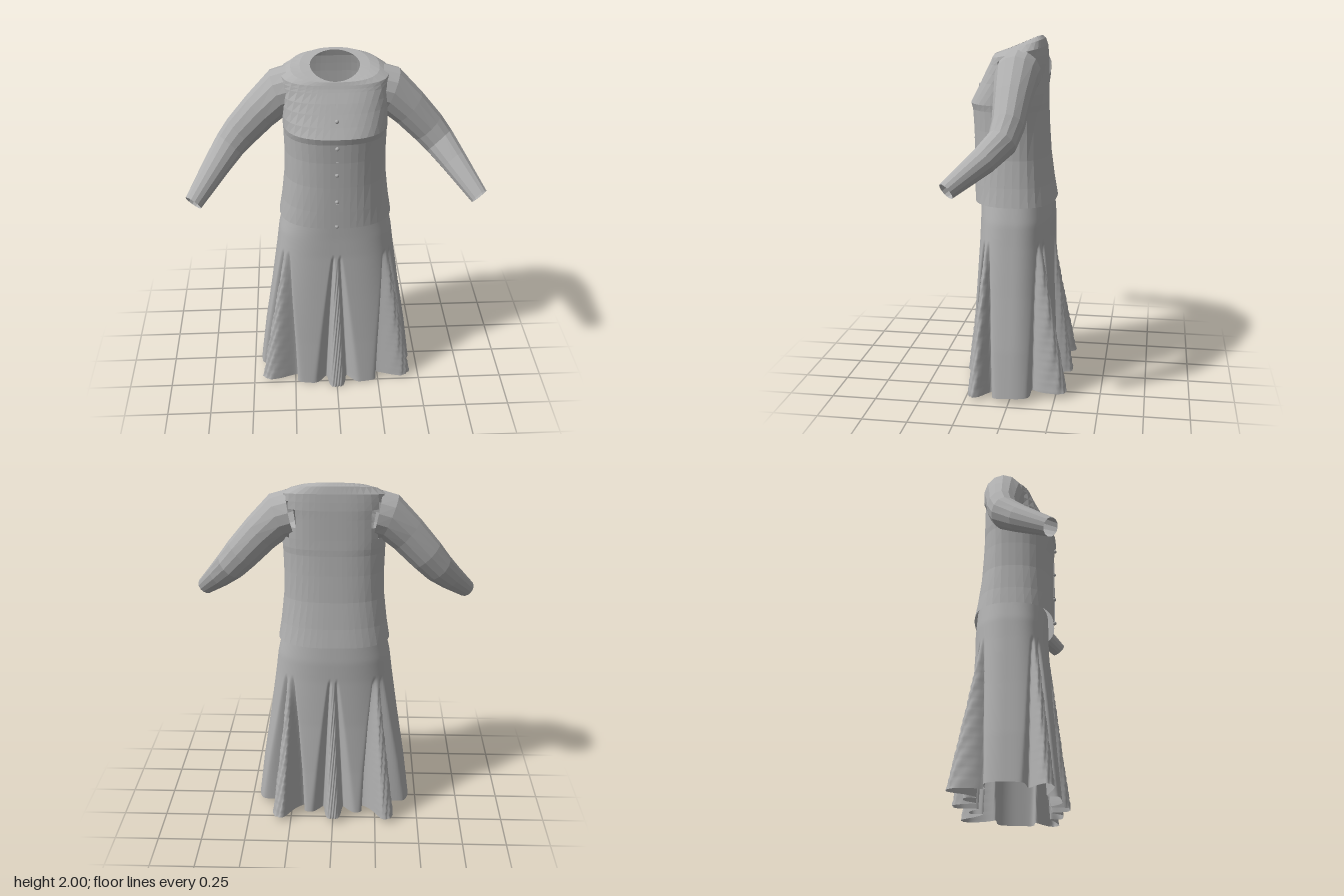
import * as THREE from 'three';

const opts = { color: 0xb0b0b0, side: THREE.DoubleSide };
const cloth = new THREE.MeshStandardMaterial(opts);
cloth.name = 'grey cloth';

// Skin a list of closed rings of Vector3; cells whose middle satisfies isHole stay open
function loft(rings, flat, isHole = () => false) {
  const n = rings[0].length, idx = [];
  for (let j = 0; j < rings.length - 1; j++) {
    for (let i = 0; i < n; i++) {
      const k = (i + 1) % n;
      const middle = rings[j][i].clone().add(rings[j + 1][k]).multiplyScalar(0.5);
      if (isHole(middle)) continue;
      const a = j * n + i, b = j * n + k, c = a + n, d = b + n;
      idx.push(a, c, b, b, c, d);
    }
  }
  let geo = new THREE.BufferGeometry().setFromPoints(rings.flat());
  geo.setIndex(idx);
  if (flat) geo = geo.toNonIndexed();
  geo.computeVertexNormals();
  return geo;
}

function part(name, geo, parent) {
  const mesh = new THREE.Mesh(geo, cloth);
  mesh.name = name;
  parent.add(mesh);
  return mesh;
}

// Radius of a rounded oval with separate front and back depths
function oval(a, hw, front, back, n) {
  const c = Math.abs(Math.cos(a)) / hw;
  const s = Math.abs(Math.sin(a)) / (Math.sin(a) > 0 ? front : back);
  return (c ** n + s ** n) ** (-1 / n);
}

// Row of a profile table (sorted by its first column) at height y
function rowAt(table, y) {
  let i = 0;
  while (i < table.length - 2 && y > table[i + 1][0]) i++;
  const p = table[i], q = table[i + 1];
  const t = THREE.MathUtils.clamp((y - p[0]) / (q[0] - p[0]), 0, 1);
  return p.map((v, k) => v + (q[k] - v) * t);
}

// Jacket: height, half width, front, back, forward tilt, squareness
const BODICE = [
  [1.095, 0.315, 0.245, 0.213, 0, 2.5],
  [1.20, 0.298, 0.246, 0.195, 0, 2.5],
  [1.35, 0.281, 0.247, 0.175, 0, 2.5],
  [1.50, 0.278, 0.25, 0.165, 0, 2.5],
  [1.61, 0.281, 0.257, 0.16, 0, 2.5],
  [1.645, 0.283, 0.266, 0.16, 0, 2.6],
  [1.70, 0.283, 0.236, 0.158, 0, 2.7],
  [1.76, 0.283, 0.205, 0.157, 0, 2.7],
  [1.81, 0.285, 0.18, 0.156, 0, 2.7],
  [1.86, 0.287, 0.152, 0.155, 0, 2.8],
  [1.89, 0.288, 0.144, 0.152, -0.1, 2.8],
  [1.92, 0.286, 0.137, 0.148, -0.2, 2.8],
  [1.948, 0.235, 0.13, 0.138, -0.3, 2.6],
  [1.957, 0.185, 0.124, 0.122, -0.4, 2.3],
  [1.958, 0.132, 0.118, 0.10, -0.43, 1.9],
];

function bodice() {
  const n = 44;
  const rings = BODICE.map(([y, hw, f, b, tilt, e]) =>
    Array.from({ length: n }, (_, i) => {
      const a = (i / n) * Math.PI * 2, r = oval(a, hw, f, b, e);
      const z = r * Math.sin(a);
      return new THREE.Vector3(r * Math.cos(a), y + tilt * z, z);
    }));
  // Armholes
  return loft(rings, true, (p) => Math.abs(p.x) > 0.2
    && Math.hypot((p.y - 1.81) / 0.115, (p.z + 0.028) / 0.105) < 1);
}

// Sleeve: centre, direction, radius up and down, radius front to back
const SLEEVE = [
  [[0.235, 1.818, -0.028], [1, -0.2, 0], 0.128, 0.122],
  [[0.30, 1.797, -0.026], [1, -0.4, 0], 0.13, 0.117],
  [[0.40, 1.70, -0.02], [0.75, -0.65, 0], 0.11, 0.1],
  [[0.51, 1.58, -0.015], [0.7, -0.7, 0.08], 0.1, 0.086],
  [[0.575, 1.505, 0.005], [0.6, -0.6, 0.35], 0.09, 0.08],
  [[0.65, 1.42, 0.09], [0.57, -0.57, 0.6], 0.075, 0.07],
  [[0.77, 1.285, 0.255], [0.57, -0.57, 0.6], 0.051, 0.046],
];

function sleeve() {
  const n = 14;
  return loft(SLEEVE.map(([c, d, ry, rz]) => {
    const dir = new THREE.Vector3(...d).normalize();
    const u = new THREE.Vector3(0, 0, 1).addScaledVector(dir, -dir.z).normalize();
    const v = dir.clone().cross(u);
    return Array.from({ length: n }, (_, i) => {
      const a = (i / n) * Math.PI * 2;
      return new THREE.Vector3(...c)
        .addScaledVector(v, Math.cos(a) * ry).addScaledVector(u, Math.sin(a) * rz);
    });
  }), true);
}

// Skirt panels: height, half width, front, back, squareness of the front
const SKIRT = [
  [0, 0.46, 0.275, 0.258, 3],
  [0.3, 0.422, 0.25, 0.233, 3],
  [0.6, 0.375, 0.23, 0.215, 3],
  [0.88, 0.335, 0.213, 0.205, 2.9],
  [1.0, 0.32, 0.21, 0.205, 2.7],
  [1.13, 0.29, 0.21, 0.195, 2.4],
];

// Flared pleats: position angle, angle they flare towards, flare and pinch at the hem
const deg = Math.PI / 180;
const PLEATS = [
  [90, 90, 0.035, 0.07], [270, 270, 0.065, 0.07],
  [27, 32, 0.048, 0.08], [153, 148, 0.048, 0.08],
  [-31, -92, 0.11, 0.085], [211, 272, 0.11, 0.085],
].map(([a, dir, flare, pinch]) => [a * deg, dir * deg, flare, pinch]);

function skirt() {
  const n = 360, rows = 64, rings = [];
  for (let j = 0; j <= rows; j++) {
    const ring = [];
    for (let i = 0; i < n; i++) {
      const a = (i / n) * Math.PI * 2;
      const hem = 0.038 - 0.03 * Math.max(0, Math.sin(a));
      const y = hem + (1.13 - hem) * (j / rows);
      const [, hw, f, b, square] = rowAt(SKIRT, y);
      const base = oval(a, hw, f, b, Math.sin(a) > 0 ? square : 2.4);
      const grow = THREE.MathUtils.clamp((0.88 - y) / 0.85, 0, 1);
      const w = 0.012 + 0.04 * grow;
      let r = base, dx = 0, dz = 0;
      for (const [pa, dir, flare, depth] of PLEATS) {
        const d = Math.abs(Math.atan2(Math.sin(a - pa), Math.cos(a - pa))) * base;
        const lobe = Math.exp(-((d / w) ** 4));
        const pinch = Math.exp(-(((d - w * 1.6) / (w * 0.55)) ** 2));
        const wrinkle = Math.sin(y * 83 + a * 40) * Math.sin(y * 47 - a * 61);
        r += lobe * 0.006 * wrinkle * Math.min(1, grow * 4) - pinch * depth * Math.sqrt(grow);
        dx += lobe * flare * grow * Math.cos(dir);
        dz += lobe * flare * grow * Math.sin(dir);
      }
      ring.push(new THREE.Vector3(r * Math.cos(a) + dx, y, r * Math.sin(a) + dz));
    }
    rings.push(ring);
  }
  return loft(rings, false);
}

export function createModel() {
  const model = new THREE.Group();
  model.name = 'jacketAndSkirt';

  const jacket = new THREE.Group();
  jacket.name = 'jacket';
  model.add(jacket);
  part('bodice', bodice(), jacket);

  const sleeveGeo = sleeve();
  part('leftSleeve', sleeveGeo, jacket);
  part('rightSleeve', sleeveGeo, jacket).scale.x = -1;

  // Front closure: narrow placket strips with buttons between them
  const frontZ = (y) => rowAt(BODICE, y)[2];
  for (const [y0, y1] of [[1.12, 1.25], [1.28, 1.42], [1.44, 1.51], [1.79, 1.86]]) {
    const rise = y1 - y0, run = frontZ(y1) - frontZ(y0);
    const strip = part('placket', new THREE.BoxGeometry(0.014, Math.hypot(rise, run), 0.012), jacket);
    strip.position.set(0, (y0 + y1) / 2, (frontZ(y0) + frontZ(y1)) / 2);
    strip.rotation.x = Math.atan2(run, rise);
  }
  const buttonGeo = new THREE.SphereGeometry(0.011, 10, 8);
  for (const y of [1.11, 1.265, 1.43, 1.59, 1.73]) {
    part('button', buttonGeo, jacket).position.set(0, y, frontZ(y) + 0.003);
  }

  part('skirt', skirt(), model);
  return model;
}
